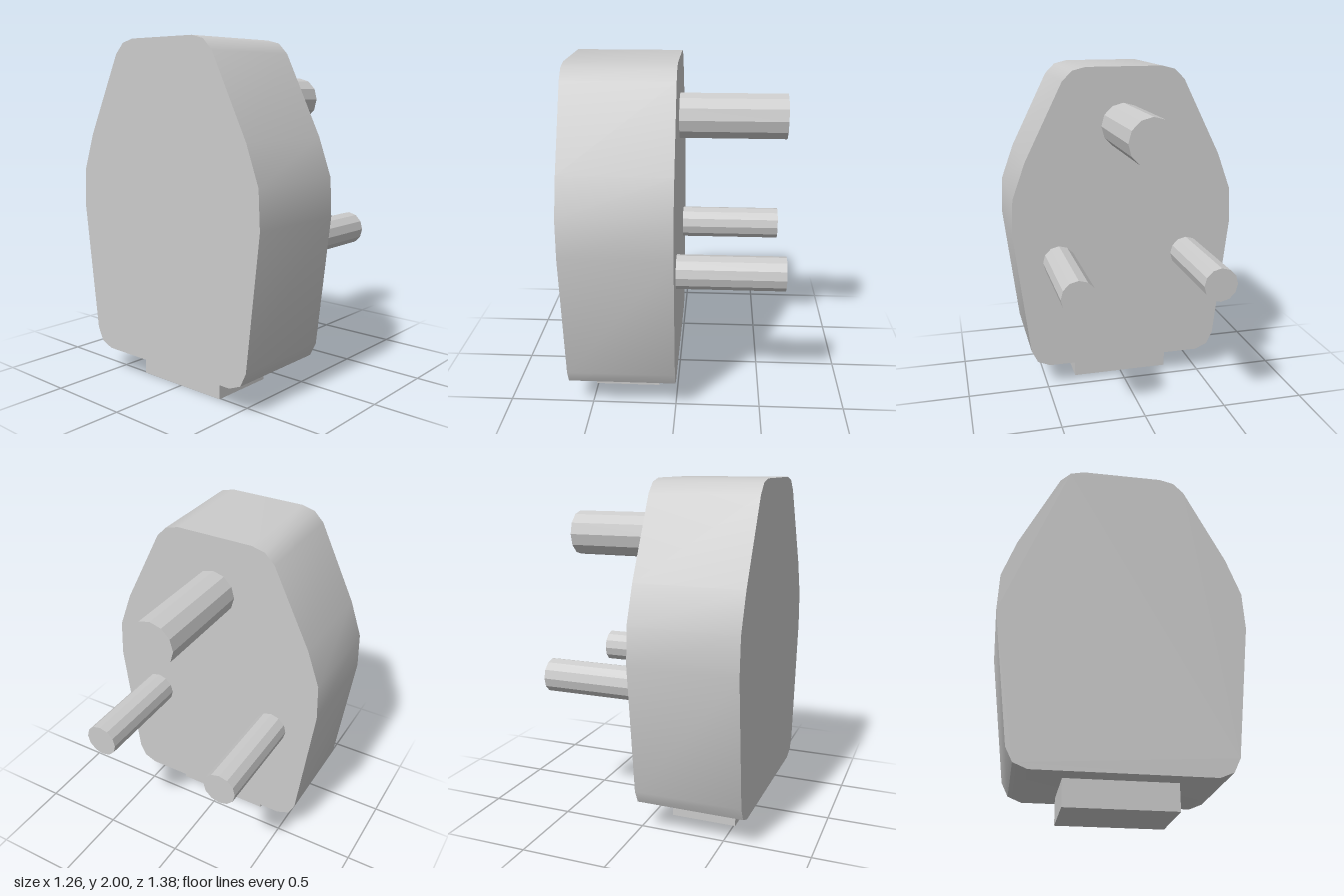
import * as THREE from 'three';
import { toCreasedNormals } from 'three/addons/utils/BufferGeometryUtils.js';

const smooth = new THREE.MeshStandardMaterial({ color: 0xcccccc });
const faceted = new THREE.MeshStandardMaterial({ color: 0xcccccc, flatShading: true });

function addPart(group, name, geometry, material) {
  const mesh = new THREE.Mesh(geometry, material);
  mesh.name = name;
  group.add(mesh);
  return mesh;
}

export function createModel() {
  const group = new THREE.Group();
  group.name = 'plug';

  // Body: half outline (z, y) from bottom to top, mirrored and extruded along -x
  const half = [
    [0.485, 0.15], [0.562, 0.182], [0.6, 0.26], [0.69, 1.02], [0.68, 1.24],
    [0.6, 1.46], [0.37, 1.92], [0.31, 1.98], [0.23, 2],
  ];
  const outline = [...half, ...half.map(([z, y]) => [-z, y]).reverse()];
  const shape = new THREE.Shape(outline.map(([z, y]) => new THREE.Vector2(z, y)));
  const bodyGeometry = new THREE.ExtrudeGeometry(shape, { depth: 0.63, bevelEnabled: false });
  bodyGeometry.rotateY(-Math.PI / 2);
  addPart(group, 'body', toCreasedNormals(bodyGeometry, 0.64), smooth);

  // Cord outlet block under the body
  const outlet = addPart(group, 'cordOutlet', new THREE.BoxGeometry(0.395, 0.15, 0.61), faceted);
  outlet.position.set(-0.3125, 0.075, 0);

  // Three contact pins pointing along +x
  const pins = [
    ['earthPin', 0.135, 1.655, 0.005],
    ['frontPin', 0.1, 0.836, 0.41],
    ['backPin', 0.1, 0.836, -0.4],
  ];
  const length = 0.626;
  for (const [name, radius, y, z] of pins) {
    const geometry = new THREE.CylinderGeometry(radius, radius, length, 12).rotateZ(-Math.PI / 2);
    addPart(group, name, geometry, faceted).position.set(length / 2, y, z);
  }

  return group;
}
